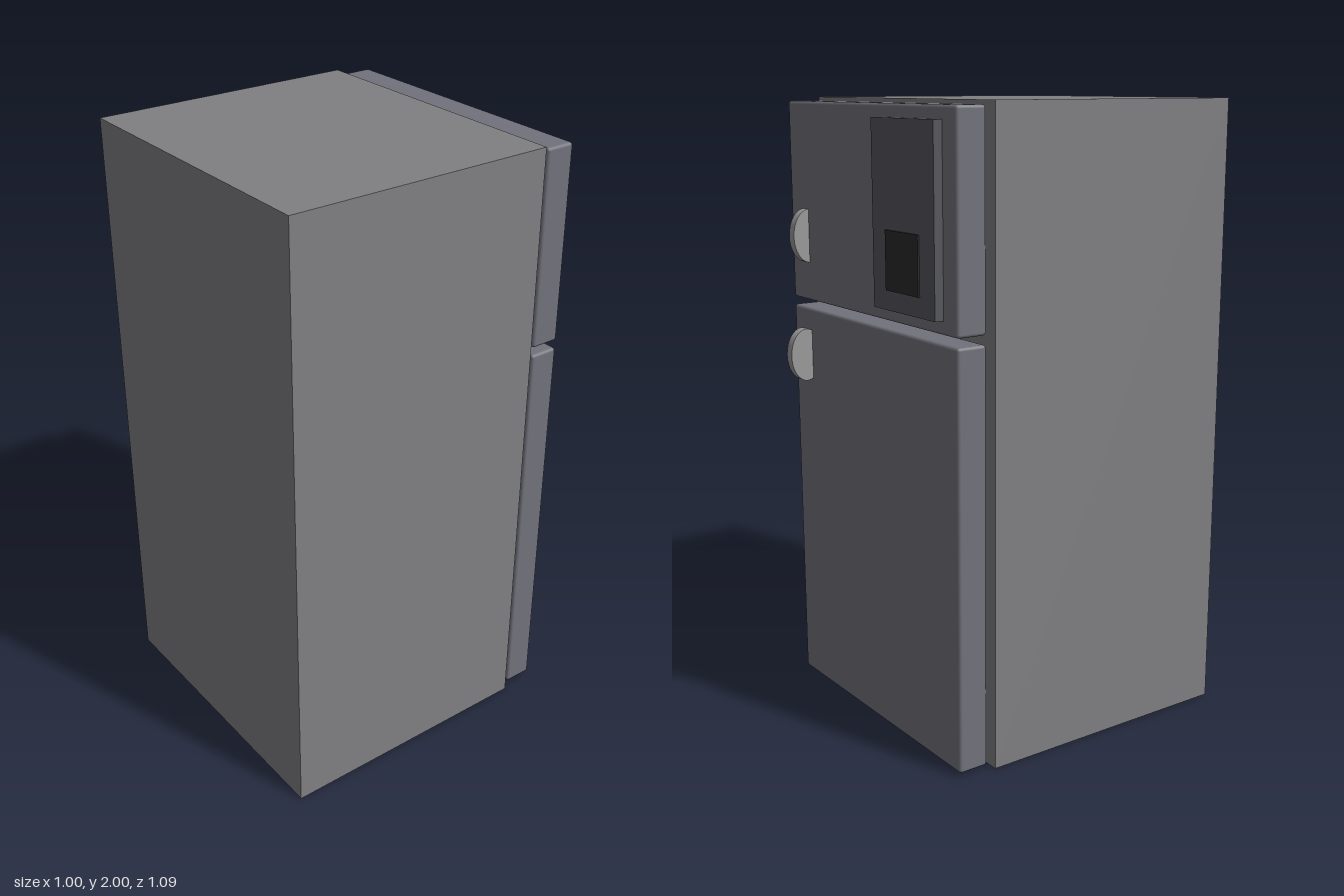
import * as THREE from 'three';
import { RoundedBoxGeometry } from 'three/addons/geometries/RoundedBoxGeometry.js';

const paint = (color) => new THREE.MeshStandardMaterial({ color });

export function createModel() {
  const model = new THREE.Group();
  model.name = 'refrigerator';

  const bodyPaint = paint(0x808083);
  const doorPaint = paint(0x72727c);
  const panelPaint = paint(0x55555d);
  const recessPaint = paint(0x2a2a2a);
  const handlePaint = paint(0x9a9a9a);

  // Adds a box from its minimum and maximum corners, rounded if a radius is given
  function addBox(name, material, [x0, y0, z0], [x1, y1, z1], radius = 0) {
    const size = [x1 - x0, y1 - y0, z1 - z0];
    const geometry = radius
      ? new RoundedBoxGeometry(...size, 2, radius)
      : new THREE.BoxGeometry(...size);
    const mesh = new THREE.Mesh(geometry, material);
    mesh.position.set((x0 + x1) / 2, (y0 + y1) / 2, (z0 + z1) / 2);
    mesh.name = name;
    model.add(mesh);
  }

  // Cabinet, with the doors standing slightly clear of its -z side
  addBox('cabinet', bodyPaint, [-0.5, 0, -0.345], [0.5, 2, 0.544]);
  addBox('freezerDoor', doorPaint, [-0.488, 1.348, -0.466], [0.488, 1.988, -0.367], 0.01);
  addBox('fridgeDoor', doorPaint, [-0.488, 0.013, -0.466], [0.488, 1.322, -0.367], 0.01);

  // Dispenser plate and its dark recess
  addBox('dispenserPanel', panelPaint, [-0.417, 1.39, -0.495], [-0.085, 1.948, -0.46]);
  addBox('dispenserRecess', recessPaint, [-0.339, 1.45, -0.501], [-0.163, 1.628, -0.49]);

  // Handles: thin elliptical discs partly sunk into the doors
  const handleGeometry = new THREE.CylinderGeometry(1, 1, 0.033, 32);
  handleGeometry.rotateZ(Math.PI / 2);
  handleGeometry.scale(1, 0.087, 0.057);
  const handles = [['freezerHandle', 1.56, -0.464], ['fridgeHandle', 1.168, -0.487]];
  for (const [name, y, z] of handles) {
    const handle = new THREE.Mesh(handleGeometry, handlePaint);
    handle.position.set(0.387, y, z);
    handle.name = name;
    model.add(handle);
  }

  return model;
}
